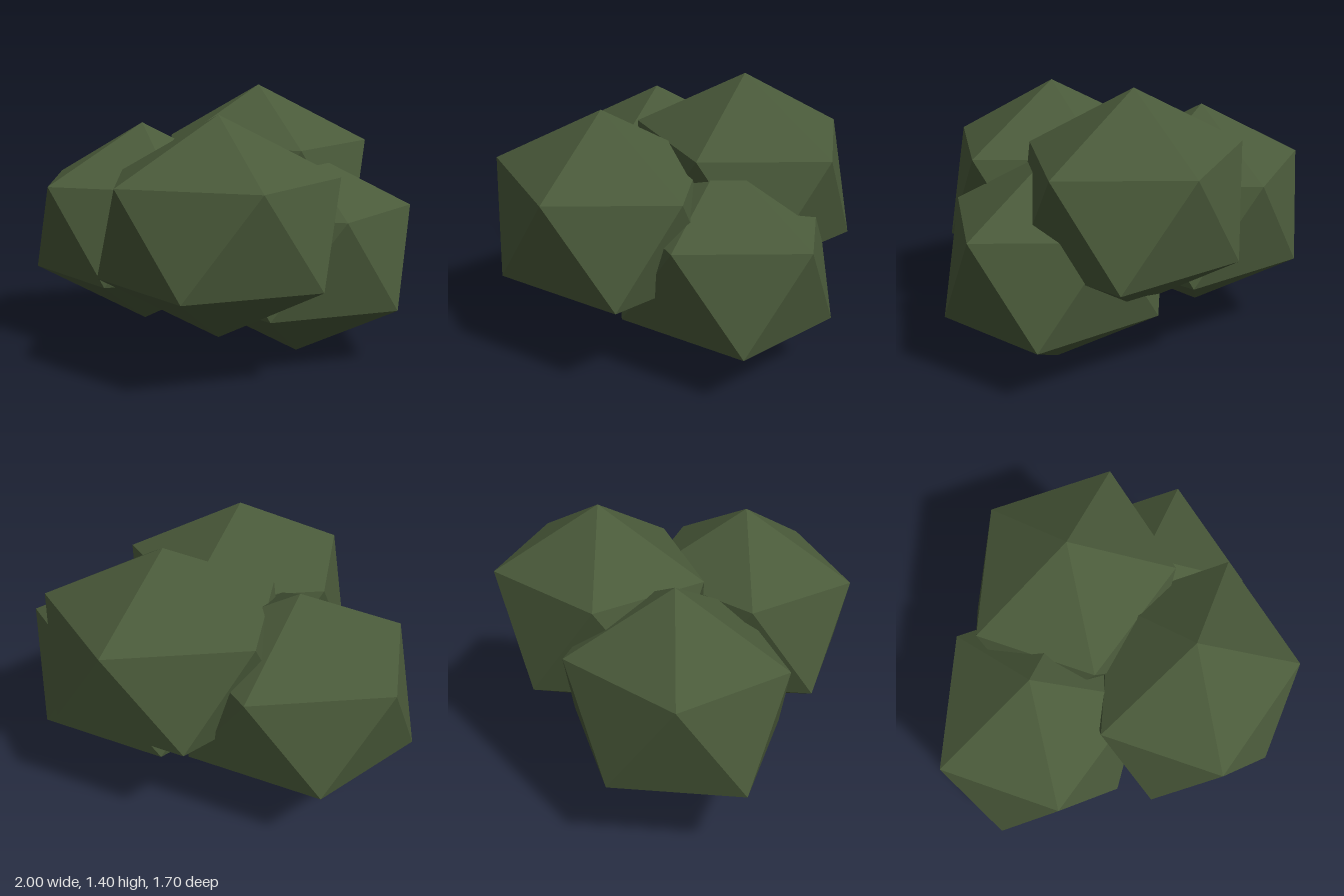
import * as THREE from 'three';

export function createModel() {
  const model = new THREE.Group();
  model.name = 'bush';

  const leafGreen = new THREE.MeshStandardMaterial({ color: 0x4a5a3a, flatShading: true });
  leafGreen.name = 'leafGreen';

  // Icosahedron standing on a corner, an upper-ring corner facing +x, slightly squashed
  const clumpShape = new THREE.IcosahedronGeometry(1, 0);
  clumpShape.rotateZ(-Math.atan(2 / (1 + Math.sqrt(5))));
  clumpShape.scale(0.658, 0.547, 0.576);

  // Overlapping leaf clumps: name and centre
  const clumps = [
    ['frontClump', -0.02, 0.753, 0.36],
    ['backClump', 0.22, 0.852, -0.36],
    ['rightwardClump', -0.41, 0.653, -0.32],
    ['leftwardClump', 0.41, 0.547, -0.04],
  ];
  for (const [name, x, y, z] of clumps) {
    const clump = new THREE.Mesh(clumpShape, leafGreen);
    clump.name = name;
    clump.position.set(x, y, z);
    model.add(clump);
  }
  return model;
}
